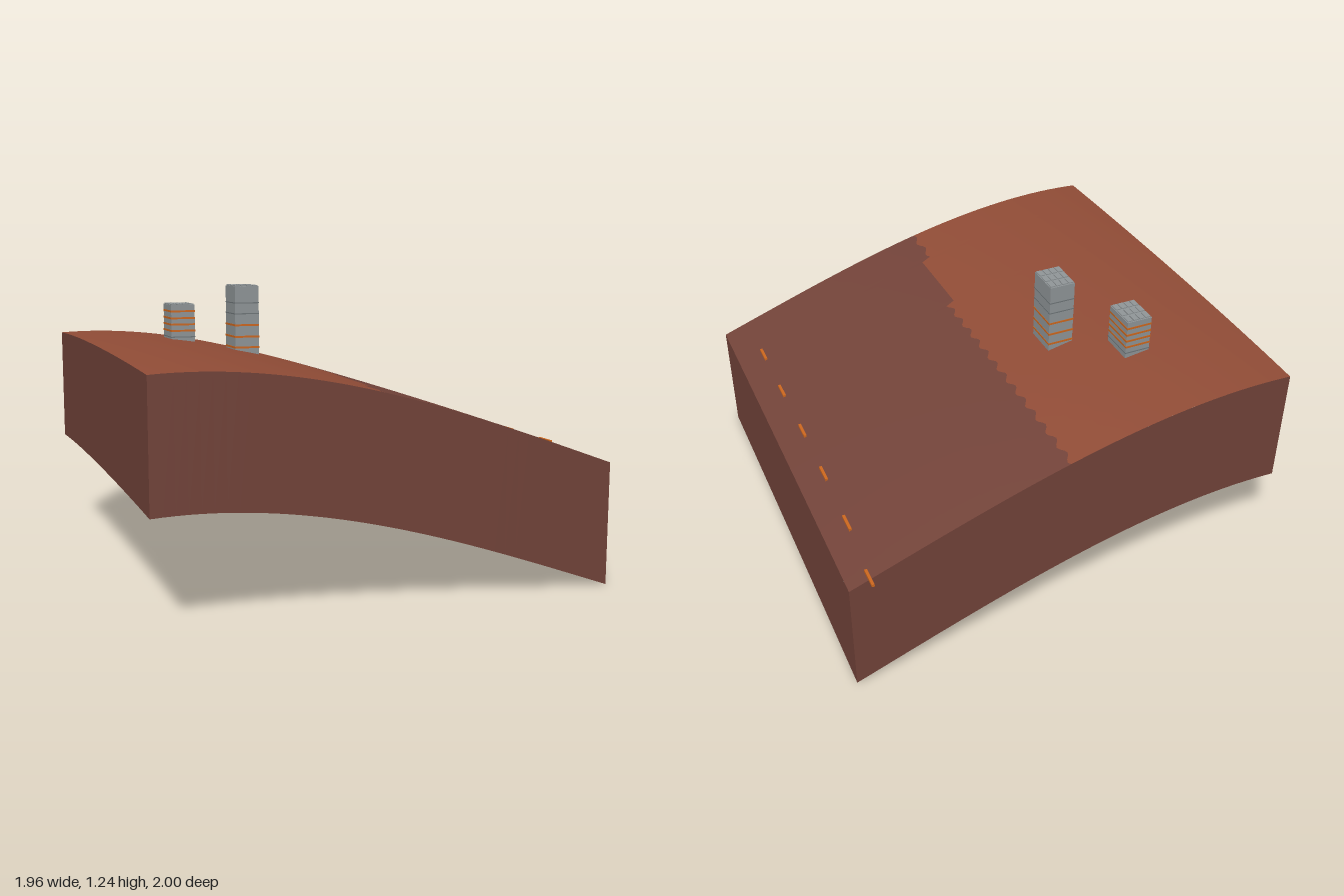
import * as THREE from 'three';

const X = 0.98, Z_BACK = -0.96, Z_FRONT = 1, DEPTH = 0.526;

const mat = (name, color, side = THREE.FrontSide) =>
  Object.assign(new THREE.MeshStandardMaterial({ color, side }), { name });

// Height of the sloping ground: a falling cubic in x with a slight swell in z
function ground(x, z) {
  const t = (z + 0.3) / (z > -0.3 ? 1.3 : 0.95);
  const base = 0.855 - 0.2655 * x - 0.109 * x * x + 0.0406 * x * x * x;
  return base + (0.016 - 0.008 * x) * (1 - t * t);
}

// Ragged line where the two ground colours meet
function border(z) {
  if (z > 0.75) return -0.05 + 0.012 * Math.sin(z * 50);
  if (z > 0.33) return 0;
  return 0.032 + 0.012 * Math.sin(z * 65);
}

// Grid surface from a rule f(u, v) -> [x, y, z]
function surface(f, nu, nv) {
  const pos = [], idx = [];
  for (let j = 0; j <= nv; j++)
    for (let i = 0; i <= nu; i++) pos.push(...f(i / nu, j / nv));
  for (let j = 0; j < nv; j++)
    for (let i = 0; i < nu; i++) {
      const a = j * (nu + 1) + i, c = a + nu + 1;
      idx.push(a, c, a + 1, a + 1, c, c + 1);
    }
  const g = new THREE.BufferGeometry();
  g.setAttribute('position', new THREE.Float32BufferAttribute(pos, 3));
  g.setIndex(idx);
  g.computeVertexNormals();
  return g;
}

export function createModel() {
  const model = new THREE.Group();
  model.name = 'hillside';
  const clay = mat('clay', 0x924d37, THREE.DoubleSide);
  const earth = mat('darkEarth', 0x74443a, THREE.DoubleSide);
  const concrete = mat('concrete', 0x92989a);
  const seam = mat('darkSeam', 0x70777a);
  const orange = mat('orange', 0xd0691f);

  const add = (parent, name, geo, material, x = 0, y = 0, z = 0) => {
    const m = new THREE.Mesh(geo, material);
    m.name = name;
    m.position.set(x, y, z);
    parent.add(m);
    return m;
  };

  // Ground, split along the ragged border
  const strip = (x0, x1) => (u, v) => {
    const z = THREE.MathUtils.lerp(Z_BACK, Z_FRONT, v);
    const x = THREE.MathUtils.lerp(x0(z), x1(z), u);
    return [x, ground(x, z), z];
  };
  add(model, 'upperGround', surface(strip(() => -X, border), 24, 120), clay);
  add(model, 'lowerGround', surface(strip(border, () => X), 24, 120), earth);

  // Skirt walls of constant height, open underneath
  const wall = (name, xa, za, xb, zb) => add(model, name, surface((u, v) => {
    const x = THREE.MathUtils.lerp(xa, xb, u), z = THREE.MathUtils.lerp(za, zb, u);
    return [x, ground(x, z) - v * DEPTH, z];
  }, 40, 1), earth);
  wall('frontWall', -X, Z_FRONT, X, Z_FRONT);
  wall('leftWall', X, Z_FRONT, X, Z_BACK);
  wall('backWall', X, Z_BACK, -X, Z_BACK);
  wall('rightWall', -X, Z_BACK, -X, Z_FRONT);

  // Towers with floor bands and low roof slabs
  function tower(name, x, z, w, d, bottom, top, orangeBands, seamBands) {
    const g = new THREE.Group();
    g.name = name;
    g.position.set(x, 0, z);
    model.add(g);
    add(g, 'towerBody', new THREE.BoxGeometry(w, top - bottom, d), concrete, 0, (top + bottom) / 2, 0);
    const bands = (list, label, material, h) => list.forEach(y =>
      add(g, label, new THREE.BoxGeometry(w + 0.003, h, d + 0.003), material, 0, y, 0));
    bands(orangeBands, 'orangeBand', orange, 0.009);
    bands(seamBands, 'floorSeam', seam, 0.005);
    for (let i = 0; i < 4; i++)
      for (let j = 0; j < 3; j++)
        add(g, 'roofSlab', new THREE.BoxGeometry(w / 5, 0.005, d / 3.8), concrete,
          (i - 1.5) * w / 4, top + 0.0025, (j - 1) * d / 3);
  }
  tower('shortTower', -0.49, -0.465, 0.115, 0.152, 0.94, 1.143,
    [1.113, 1.08, 1.05, 1.02], [0.99]);
  tower('tallTower', -0.246, -0.222, 0.115, 0.152, 0.915, 1.237,
    [1.057, 1.003, 0.953], [1.16, 1.11]);

  // Row of marker bars near the low edge
  [[0.893, -0.955], [0.876, -0.635], [0.87, -0.305], [0.867, -0.015 + 0.03],
    [0.867, 0.345], [0.865, 0.675]].forEach(([x, z]) => {
    add(model, 'markerBar', new THREE.BoxGeometry(0.012, 0.012, 0.09), orange,
      x, ground(x, z) + 0.004, z);
  });

  return model;
}
